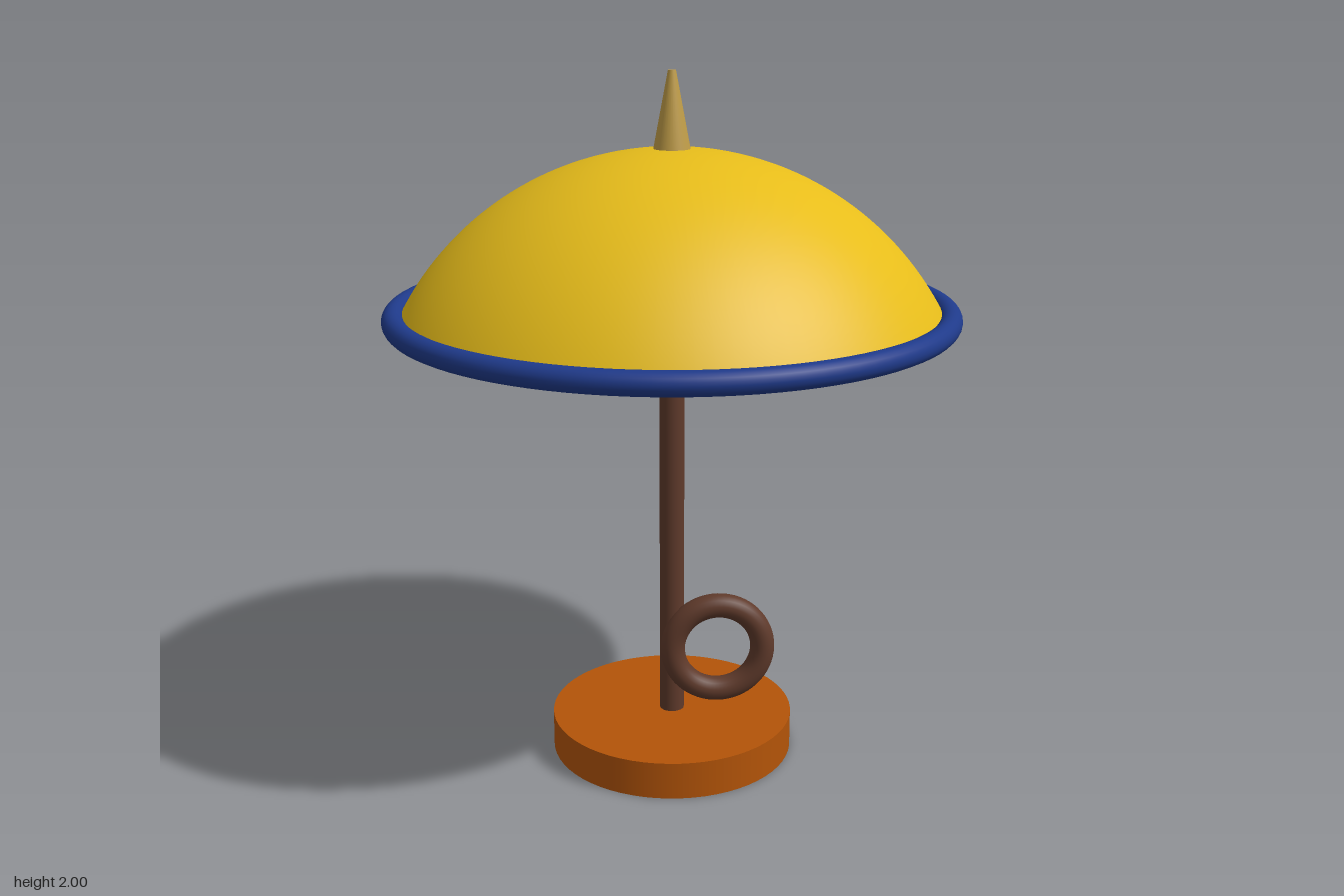
import * as THREE from 'three';

export function createModel() {
  const model = new THREE.Group();
  const material = (name, color) => {
    const m = new THREE.MeshStandardMaterial({ color });
    m.name = name;
    return m;
  };
  const yellow = material('yellow', 0xe6bc1a);
  const blue = material('blue', 0x1f3a8a);
  const brown = material('brown', 0x5f3a2b);
  const orange = material('orange', 0xb35408);
  const brass = material('brass', 0xbf9c48);

  const add = (name, geometry, mat, x, y, z) => {
    const mesh = new THREE.Mesh(geometry, mat);
    mesh.name = name;
    mesh.position.set(x, y, z);
    model.add(mesh);
    return mesh;
  };

  // Foot and pole
  add('base', new THREE.CylinderGeometry(0.358, 0.358, 0.11, 64), orange, 0, 0.055, 0);
  add('pole', new THREE.CylinderGeometry(0.036, 0.036, 1.25, 32), brown, 0, 0.73, 0);

  // Ring handle standing beside the pole
  add('ringHandle', new THREE.TorusGeometry(0.134, 0.036, 24, 64), brown, 0.134, 0.317, 0.036);

  // Canopy: a spherical cap whose flat underside is level with the bottom of the rim
  const undersideY = 1.304, canopyRadius = 0.776, height = 0.487;
  const R = (canopyRadius ** 2 + height ** 2) / (2 * height);
  const angle = Math.asin(canopyRadius / R);
  add('canopy', new THREE.SphereGeometry(R, 96, 32, 0, Math.PI * 2, 0, angle), yellow,
    0, undersideY + height - R, 0);
  add('canopyUnderside', new THREE.CircleGeometry(canopyRadius, 96), yellow, 0, undersideY, 0)
    .rotation.x = Math.PI / 2;

  // Rolled edge
  add('rim', new THREE.TorusGeometry(0.775, 0.032, 20, 96), blue, 0, 1.335, 0)
    .rotation.x = Math.PI / 2;

  // Tapered spike on top
  add('finial', new THREE.CylinderGeometry(0.011, 0.052, 0.215, 32), brass, 0, 1.8925, 0);

  return model;
}
